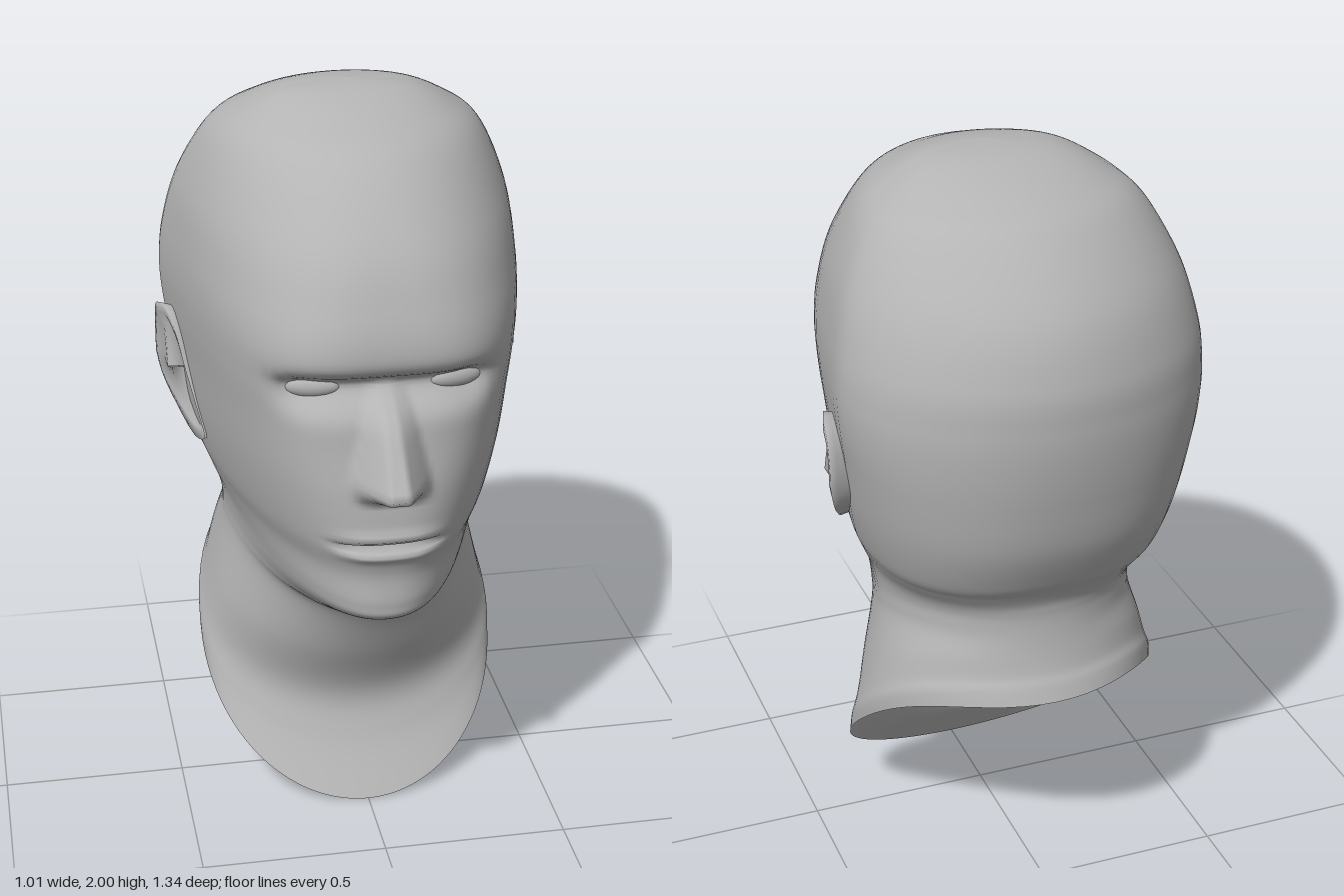
import * as THREE from 'three';

const skin = new THREE.MeshStandardMaterial({ color: 0xb4b4b4, side: THREE.DoubleSide });
skin.name = 'plain grey';

// Skin a stack of closed rings of Vector3 with smooth normals
function loft(rings, name) {
  const cols = rings[0].length, index = [], pos = [];
  rings.forEach((ring) => ring.forEach((p) => pos.push(p.x, p.y, p.z)));
  for (let i = 0; i < rings.length - 1; i++) {
    for (let j = 0; j < cols; j++) {
      const k = (j + 1) % cols;
      const a = i * cols + j, d = i * cols + k, b = a + cols, c = d + cols;
      index.push(a, b, c, a, c, d);
    }
  }
  const geo = new THREE.BufferGeometry();
  geo.setAttribute('position', new THREE.Float32BufferAttribute(pos, 3));
  geo.setIndex(index);
  geo.computeVertexNormals();
  const mesh = new THREE.Mesh(geo, skin);
  mesh.name = name;
  return mesh;
}

// Skull, from the crown down to the cheeks:
// frontY, frontZ, sideY, sideZ, halfWidth, backY, backZ, front squareness, front taper, back squareness
const skull = [
  [2.00, -0.07, 2.00, -0.07, 0.00, 2.00, -0.07, 2.0, 0.00, 2.0],
  [1.985, 0.02, 1.98, -0.08, 0.17, 1.985, -0.19, 2.0, 0.00, 1.95],
  [1.943, 0.15, 1.92, -0.12, 0.29, 1.93, -0.36, 2.0, 0.04, 1.9],
  [1.875, 0.295, 1.85, -0.16, 0.37, 1.87, -0.465, 2.1, 0.08, 1.85],
  [1.71, 0.45, 1.71, -0.22, 0.44, 1.72, -0.60, 2.45, 0.14, 1.87],
  [1.57, 0.52, 1.57, -0.26, 0.475, 1.57, -0.66, 3.0, 0.21, 1.92],
  [1.46, 0.547, 1.46, -0.27, 0.486, 1.46, -0.671, 3.5, 0.25, 1.95],
  [1.36, 0.53, 1.36, -0.27, 0.48, 1.36, -0.668, 3.7, 0.25, 2.0],
  [1.24, 0.52, 1.25, -0.25, 0.462, 1.24, -0.652, 3.5, 0.24, 2.1],
  [1.08, 0.543, 1.10, -0.20, 0.437, 1.10, -0.622, 2.9, 0.24, 2.25],
];
// Jaw, throat and slanted neck opening, same columns
const jawAndNeck = [
  [0.94, 0.55, 0.99, -0.15, 0.408, 0.98, -0.568, 2.5, 0.26, 2.4],
  [0.85, 0.53, 0.92, -0.13, 0.38, 0.93, -0.535, 2.35, 0.28, 2.4],
  [0.765, 0.532, 0.86, -0.12, 0.355, 0.89, -0.515, 2.3, 0.29, 2.3],
  [0.72, 0.513, 0.81, -0.12, 0.345, 0.86, -0.51, 2.2, 0.28, 2.2],
  [0.668, 0.40, 0.77, -0.13, 0.343, 0.83, -0.51, 2.1, 0.20, 2.15],
  [0.62, 0.295, 0.72, -0.14, 0.348, 0.79, -0.515, 2.0, 0.10, 2.1],
  [0.45, 0.205, 0.59, -0.15, 0.378, 0.74, -0.525, 2.0, 0.00, 2.05],
  [0.28, 0.13, 0.48, -0.14, 0.403, 0.69, -0.54, 2.0, 0.00, 2.0],
  [0.15, 0.16, 0.42, -0.135, 0.418, 0.66, -0.557, 2.0, 0.00, 2.0],
  [0.00, 0.25, 0.37, -0.13, 0.418, 0.62, -0.575, 2.0, 0.00, 2.0],
];
const sections = [...skull, ...jawAndNeck];

// Catmull-Rom blend between neighbouring sections
function sectionAt(i, t) {
  const at = (k) => sections[Math.min(Math.max(k, 0), sections.length - 1)];
  const [p, a, b, n] = [at(i - 1), at(i), at(i + 1), at(i + 2)];
  return a.map((v, k) => {
    const m0 = (b[k] - p[k]) / 2, m1 = (n[k] - v) / 2, t2 = t * t, t3 = t2 * t;
    return v * (2 * t3 - 3 * t2 + 1) + m0 * (t3 - 2 * t2 + t) + b[k] * (3 * t2 - 2 * t3) + m1 * (t3 - t2);
  });
}

const clamp = (v) => Math.min(Math.max(v, 0), 1);
const bell = (v, centre, width) => Math.exp(-(((v - centre) / width) ** 2));

// Forward offset of the face surface for nose, eye sockets and lips
function faceRelief(x, y) {
  const ax = Math.abs(x);
  let out = 0;
  if (y < 1.38 && y > 1.07) {
    const down = clamp((1.38 - y) / 0.26);
    const height = 0.14 * (y > 1.12 ? down : clamp((y - 1.07) / 0.05));
    const half = 0.045 + 0.06 * down;
    out += height * clamp((1 - ax / half) * 1.35);
  }
  const socket = THREE.MathUtils.smoothstep(0.32 - ax, 0, 0.12);
  out -= 0.075 * socket * bell(y, 1.365, y > 1.365 ? 0.035 : 0.06);
  const mouth = clamp((0.165 - ax) / 0.09);
  out += mouth * (0.012 * bell(y, 0.967, 0.016) + 0.014 * bell(y, 0.918, 0.016) - 0.035 * bell(y, 0.942, 0.009));
  return out;
}

function headPoint(s, angle) {
  const [fy, fz, sy, sz, w, by, bz, frontSquare, taper, backSquare] = s;
  const c = Math.cos(angle), si = Math.sin(angle);
  const n = c > 0 ? frontSquare : backSquare;
  const r = (Math.abs(si) ** n + Math.abs(c) ** n) ** (-1 / n);
  const f = Math.abs(c) * r;
  if (c <= 0) {
    return new THREE.Vector3(w * si * r, sy + (by - sy) * Math.sin(f * Math.PI / 2), sz + (bz - sz) * f);
  }
  const x = w * si * r * (1 - taper * f);
  const y = sy + (fy - sy) * f;
  const z = sz + (fz - sz) * f;
  return new THREE.Vector3(x, y, z > 0.2 ? z + faceRelief(x, y) : z);
}

// Head and neck in one skin, with columns crowded towards the face
function makeHead() {
  const half = 48, steps = 10, rings = [];
  for (let i = 0; i < sections.length - 1; i++) {
    const last = i === sections.length - 2;
    for (let k = 0; k < steps + (last ? 1 : 0); k++) {
      const s = sectionAt(i, k / steps), ring = [];
      for (let j = -half; j < half; j++) {
        const u = j / half;
        ring.push(headPoint(s, Math.PI * (0.3 * u + 0.7 * u * Math.abs(u))));
      }
      rings.push(ring);
    }
  }
  return loft(rings, 'headAndNeck');
}

// Ear: root hidden in the head, flared rim, shallow bowl
function makeEar(side) {
  const outline = [[-0.12, 1.31], [-0.17, 1.365], [-0.24, 1.34], [-0.268, 1.24], [-0.25, 1.14],
    [-0.18, 1.07], [-0.08, 1.01], [-0.02, 1.03], [-0.05, 1.12], [-0.09, 1.22]];
  const curve = new THREE.CatmullRomCurve3(outline.map(([z, y]) => new THREE.Vector3(0, y, z)), true);
  const rim = curve.getPoints(32).slice(0, 32);
  const ring = (scale, inset) => {
    const pts = rim.map((p) => {
      const x = Math.min(0.505, 0.42 - 0.34 * (p.z + 0.03) + 0.1 * (p.y - 1.15)) - inset;
      return new THREE.Vector3(side * x, 1.19 + (p.y - 1.19) * scale, -0.15 + (p.z + 0.15) * scale);
    });
    return side > 0 ? pts : pts.reverse();
  };
  return loft([ring(0.85, 0.09), ring(0.97, 0.02), ring(1, 0), ring(0.85, 0.002), ring(0.65, 0.018), ring(0.01, 0.02)],
    side > 0 ? 'leftEar' : 'rightEar');
}

// Almond eye set in its socket
function makeEye(side) {
  const eye = new THREE.Mesh(new THREE.SphereGeometry(1, 20, 12), skin);
  eye.scale.set(0.075, 0.031, 0.028);
  eye.position.set(side * 0.185, 1.357, 0.428);
  eye.rotation.y = side * 0.25;
  eye.name = side > 0 ? 'leftEye' : 'rightEye';
  return eye;
}

export function createModel() {
  const group = new THREE.Group();
  group.name = 'headBust';
  group.add(makeHead());
  for (const side of [1, -1]) group.add(makeEar(side), makeEye(side));
  return group;
}
